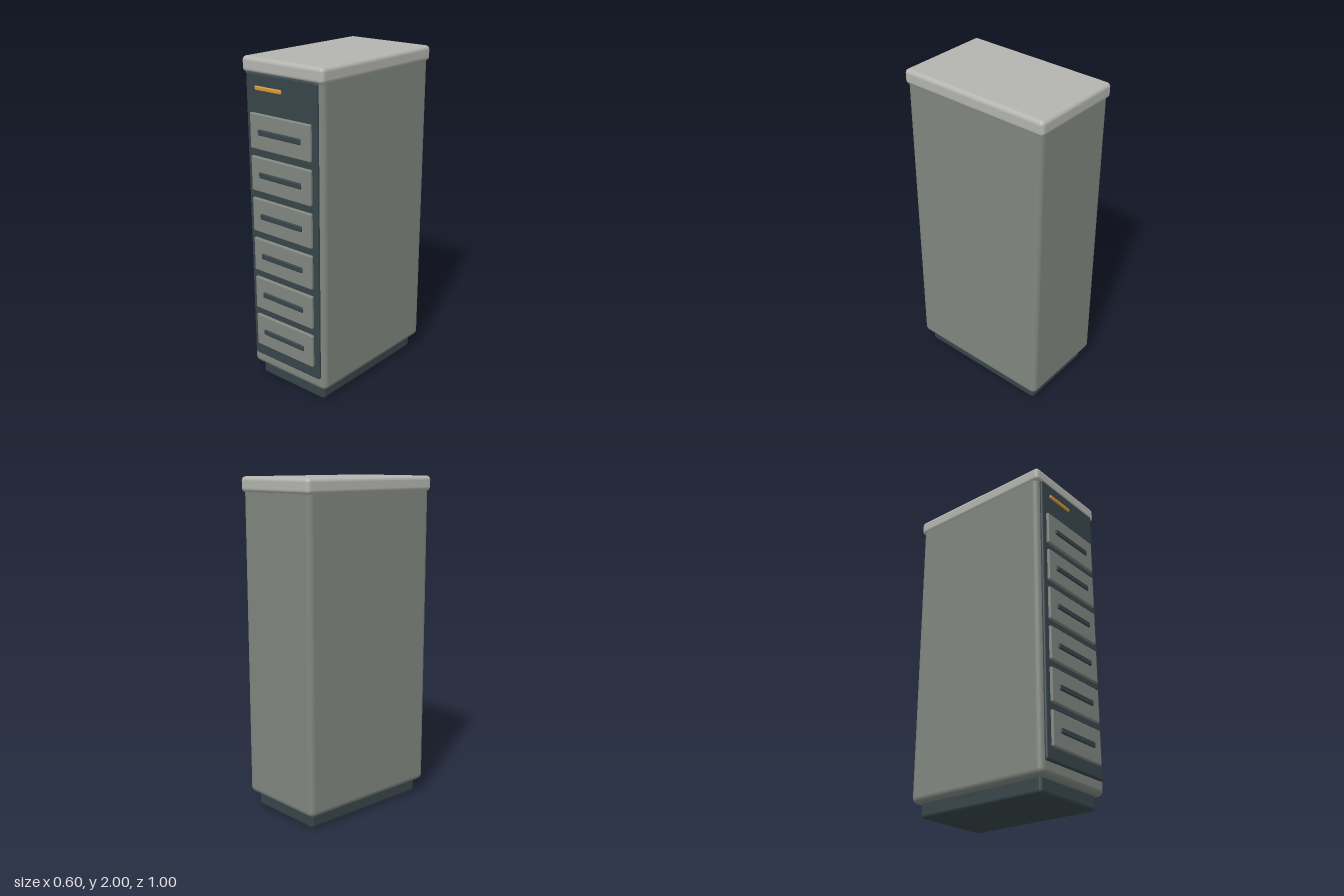
import * as THREE from 'three';
import { RoundedBoxGeometry } from 'three/addons/geometries/RoundedBoxGeometry.js';

function material(name, color) {
  const m = new THREE.MeshStandardMaterial({ color });
  m.name = name;
  return m;
}

export function createModel() {
  const model = new THREE.Group();
  model.name = 'drawerCabinet';

  const greyGreen = material('greyGreen', 0x808680);
  const lightGrey = material('lightGrey', 0xb4b4b0);
  const darkSlate = material('darkSlate', 0x38454a);
  const amber = material('amber', 0xd69a3a);

  // Rounded block given by its extents on each axis
  function block(name, mat, [x0, x1], [y0, y1], [z0, z1], radius, parent = model) {
    const geometry = new RoundedBoxGeometry(x1 - x0, y1 - y0, z1 - z0, 4, radius);
    const mesh = new THREE.Mesh(geometry, mat);
    mesh.name = name;
    mesh.position.set((x0 + x1) / 2, (y0 + y1) / 2, (z0 + z1) / 2);
    parent.add(mesh);
    return mesh;
  }

  // Plinth, body and overhanging top
  block('plinth', darkSlate, [-0.25, 0.25], [0, 0.13], [-0.447, 0.422], 0.02);
  block('body', greyGreen, [-0.293, 0.293], [0.085, 1.96], [-0.488, 0.459], 0.035);
  block('topCap', lightGrey, [-0.3, 0.3], [1.91, 2], [-0.5, 0.47], 0.025);

  // Dark front panel with its indicator strip
  block('frontPanel', darkSlate, [-0.262, 0.262], [0.165, 1.92], [0.44, 0.475], 0.012);
  block('indicatorStrip', amber, [-0.187, 0.01], [1.825, 1.849], [0.465, 0.484], 0.006);

  // Six drawers, each with a bar handle
  for (let i = 0; i < 6; i++) {
    const y = 0.346 + i * 0.2495;
    const drawer = new THREE.Group();
    drawer.name = 'drawer' + (i + 1);
    block('drawerFront', greyGreen, [-0.226, 0.226], [y - 0.103, y + 0.103], [0.46, 0.491], 0.008, drawer);
    block('handle', darkSlate, [-0.159, 0.159], [y - 0.017, y + 0.017], [0.48, 0.5], 0.007, drawer);
    model.add(drawer);
  }

  return model;
}
